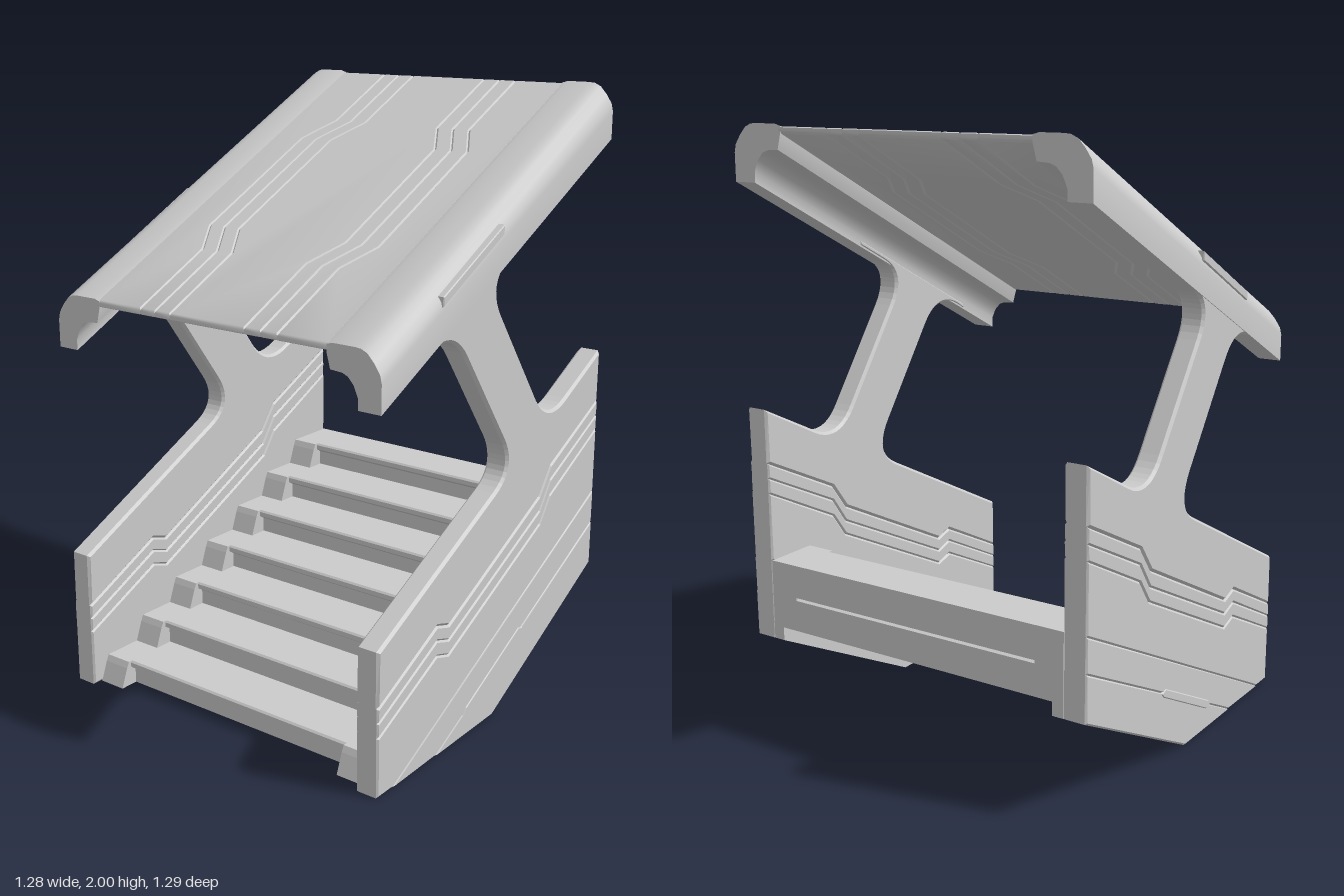
import * as THREE from 'three';
import { toCreasedNormals } from 'three/addons/utils/BufferGeometryUtils.js';

const grey = new THREE.MeshStandardMaterial({ color: 0xcccccc });
const E = 0.64; // half length

// Plate from an outline, centred on its thickness, with chamfered rims
function plate(points, thickness, bevel = 0) {
  const shape = new THREE.Shape(points.map(([x, y]) => new THREE.Vector2(x, y)));
  const depth = thickness - 2 * bevel;
  const g = new THREE.ExtrudeGeometry(shape, {
    depth, bevelEnabled: bevel > 0, bevelThickness: bevel,
    bevelSize: bevel, bevelOffset: -bevel, bevelSegments: 1,
  });
  return g.translate(0, 0, -depth / 2);
}

// Slide the vertices up along the incline
function incline(g) {
  const p = g.attributes.position;
  for (let i = 0; i < p.count; i++) p.setY(i, p.getY(i) + 0.5 * p.getX(i));
  return toCreasedNormals(g, 0.6);
}

// Replace a corner by a smooth curve between its neighbours
function fillet(prev, corner, next, size = 0.13) {
  const c = new THREE.Vector2(...corner);
  const toward = (q) => new THREE.Vector2(...q).sub(c).setLength(size).add(c);
  const mid = c.clone();
  return new THREE.QuadraticBezierCurve(toward(prev), mid, toward(next))
    .getPoints(10).map((v) => [v.x, v.y]);
}

function add(group, name, g, x = 0, y = 0, z = 0) {
  const m = new THREE.Mesh(g, grey);
  m.name = name;
  m.position.set(x, y, z);
  group.add(m);
  return m;
}

// Stepped outline of the stair; front(x, y0, y1) gives each riser
const STEPS = 7, RUN = 1.2 / STEPS, RISE = 0.6 / STEPS;
function stairTop(front) {
  const pts = [];
  for (let i = 0; i < STEPS; i++) {
    pts.push(...front(-0.56 + i * RUN, i * RISE, (i + 1) * RISE));
  }
  return [...pts, [E, 0.6]];
}

function buildWall() {
  const wall = new THREE.Group();
  // Groove paths, from the top one down
  const grooves = [
    [[-E, 0.29], [-0.335, 0.44], [-0.27, 0.42], [0.262, 0.685], [0.33, 0.775], [E, 0.927]],
    [[-E, 0.243], [-0.335, 0.393], [-0.27, 0.372], [0.266, 0.635], [0.33, 0.725], [E, 0.877]],
    [[-E, 0.195], [-0.335, 0.342], [-0.27, 0.322], [0.27, 0.588], [0.33, 0.67], [E, 0.826]],
    [[-E, 0], [-0.56, 0], [E, 0.6]],
    [[-0.56, 0], [-0.33, 0], [E, 0.485]],
  ];
  // Upper edge with the slanted pillar rising to the roof
  const a = [E, 1.105], b = [0.292, 0.931], c = [-0.09, 1.455], d = [E, 1.82];
  const e = [-E, 1.18], f = [-0.287, 1.357], g = [0.093, 0.836], h = [-E, 0.47];
  const upper = [
    a, ...fillet(a, b, c), ...fillet(b, c, d), [0.15, 1.575], [0.15, 1.6],
    [-0.45, 1.3], [-0.45, 1.275], ...fillet(e, f, g), ...fillet(f, g, h), h,
  ];
  const bands = [
    [...grooves[0], ...upper],
    [...grooves[1], ...grooves[0].slice().reverse()],
    [...grooves[2], ...grooves[1].slice().reverse()],
    [...grooves[3], ...grooves[2].slice(1).reverse(), grooves[2][0]],
    [[-0.56, 0], [-0.33, 0], [E, 0.485], [E, 0.6]],
    [[-0.33, 0], [0, 0], [E, 0.33], [E, 0.485]],
  ];
  bands.forEach((pts, i) => add(wall, `wallPanel${i + 1}`, plate(pts, 0.08, i === 0 ? 0.009 : 0.006)));
  return wall;
}

export function createModel() {
  const model = new THREE.Group();
  model.name = 'coveredStair';

  // Side walls, roof edges and trims on both sides
  for (const s of [1, -1]) {
    const wall = buildWall();
    wall.name = s > 0 ? 'frontWall' : 'backWall';
    wall.position.z = s * 0.597;
    model.add(wall);

    // Long lozenge plate low on the wall
    const lozenge = [[-0.18, 0.075], [-0.145, 0.073], [0.165, 0.232], [0.18, 0.25], [0.15, 0.26], [-0.165, 0.1]];
    add(model, 'lowerTrim', plate(lozenge, 0.02, 0.005), 0, 0, s * 0.63);

    // Slanted strip below the roof edge
    const strip = [[-0.345, 1.43], [-0.022, 1.595], [-0.022, 1.625], [-0.345, 1.46]];
    add(model, 'roofTrim', plate(strip, 0.03, 0.003), 0, 0, s * 0.628);

    // Rounded roof edge beam
    const profile = [
      [0.56, 1.5], [0.64, 1.5], [0.64, 1.59], [0.634, 1.615], [0.615, 1.643], [0.592, 1.668],
      [0.57, 1.678], [0.55, 1.68], [0.47, 1.68], [0.45, 1.674], [0.45, 1.652], [0.463, 1.603],
      [0.505, 1.6], [0.525, 1.592], [0.545, 1.57], [0.56, 1.535],
    ].map(([z, y]) => [-s * z, y]);
    add(model, 'roofEdge', incline(plate(profile, 2 * E).rotateY(Math.PI / 2)));

    // Step ends that lean forward beside the wall
    const cheek = [
      ...stairTop((x, y0, y1) => [[x - 0.045, y0], [x - 0.02, y1 - 0.02], [x - 0.01, y1]]),
      [E, 0.375], [-0.09, 0],
    ];
    add(model, 'stepEnd', plate(cheek, 0.1), 0, 0, s * 0.509);

    // Rail under the incline
    const rail = [[-0.12, 0], [0, 0], [E, 0.33], [E, 0.39]];
    add(model, 'underRail', plate(rail, 0.04), 0, 0, s * 0.54);
  }

  // Roof deck split by bent grooves
  const bend = (z) => {
    const o = z + Math.sign(z) * 0.066;
    return [[-E, z], [-0.35, z], [-0.24, o], [0.24, o], [0.35, z], [E, z]];
  };
  const straight = (z) => [[-E, z], [E, z]];
  const lines = [
    straight(-0.458), ...[-0.272, -0.21, -0.148, 0.148, 0.21, 0.272].map(bend), straight(0.458),
  ];
  for (let i = 0; i + 1 < lines.length; i++) {
    const g = plate([...lines[i], ...lines[i + 1].slice().reverse()], 0.022, 0.005);
    add(model, 'roofPanel', incline(g.rotateX(Math.PI / 2).translate(0, 1.664, 0)));
  }

  // Stair body with nosed treads and a grooved end
  const body = [
    ...stairTop((x, y0, y1) => [[x + 0.02, y0], [x + 0.02, y1 - 0.035], [x, y1 - 0.022], [x, y1 - 0.006], [x + 0.006, y1]]),
    [E, 0.49], [E - 0.01, 0.485], [E, 0.48], [E, 0.375], [-0.09, 0],
  ];
  add(model, 'stairBody', plate(body, 0.92));
  return model;
}
